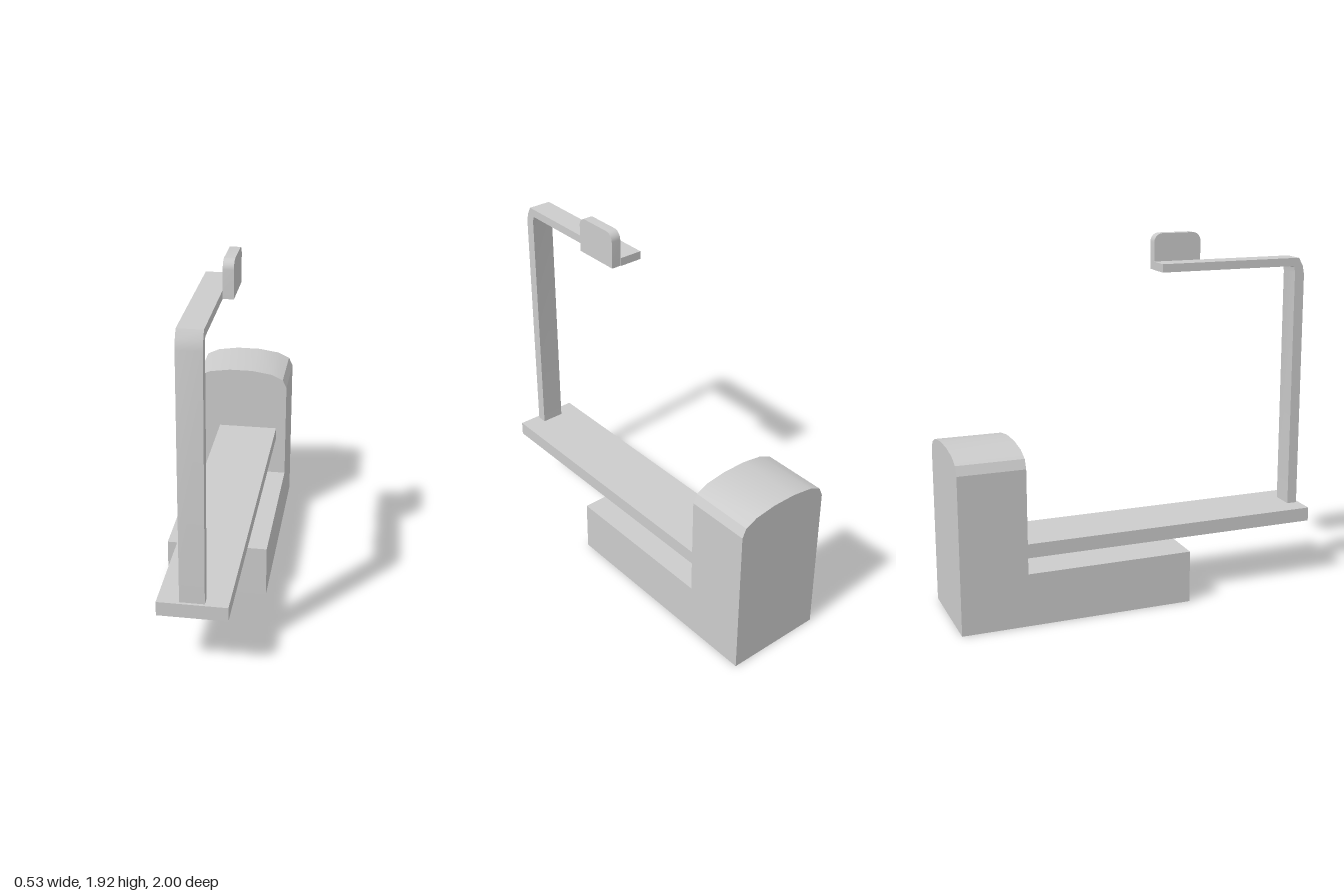
import * as THREE from 'three';
import { toCreasedNormals } from 'three/addons/utils/BufferGeometryUtils.js';

const solid = new THREE.MeshStandardMaterial({ color: 0xcccccc });
const sheet = new THREE.MeshStandardMaterial({ color: 0xcccccc, side: THREE.DoubleSide });

function add(parent, name, geometry, material = solid) {
  const mesh = new THREE.Mesh(geometry, material);
  mesh.name = name;
  parent.add(mesh);
  return mesh;
}

const shapeOf = (points) => new THREE.Shape(points.map(([a, b]) => new THREE.Vector2(a, b)));

// Extrudes a (z, y) outline across x from x0 to x1
function extrudeAcross(shape, x0, x1) {
  const g = new THREE.ExtrudeGeometry(shape, { depth: x1 - x0, bevelEnabled: false, curveSegments: 4 });
  g.rotateY(-Math.PI / 2); // outline x -> z, depth -> -x
  g.translate(x1, 0, 0);
  return toCreasedNormals(g, 0.6);
}

// Thin-walled housing: low base in front, tall arched hood open towards the front
function createHousing() {
  const group = new THREE.Group();
  group.name = 'housing';
  const w = 0.267, back = -1, mid = -0.65, front = 0.24, step = 0.28;

  const half = [[w, 0.83], [0.245, 0.878], [0.18, 0.908], [0.065, 0.925]];
  const arch = [...half, ...half.map(([x, y]) => [-x, y]).reverse()];

  // Back panel
  const backPanel = new THREE.ShapeGeometry(shapeOf([[w, 0], ...arch, [-w, 0]]));
  backPanel.rotateY(Math.PI);
  backPanel.translate(0, 0, back);
  add(group, 'backPanel', backPanel, sheet);

  // L-shaped side panels
  const side = shapeOf([[back, 0], [front, 0], [front, step], [mid, step], [mid, 0.83], [back, 0.83]]);
  for (const s of [-1, 1]) {
    const g = new THREE.ShapeGeometry(side);
    g.rotateY(-Math.PI / 2);
    g.translate(s * w, 0, 0);
    add(group, s > 0 ? 'leftPanel' : 'rightPanel', g, sheet);
  }

  // Arched roof strip
  const pos = [];
  for (let i = 0; i < arch.length - 1; i++) {
    const [ax, ay] = arch[i], [bx, by] = arch[i + 1];
    pos.push(ax, ay, mid, ax, ay, back, bx, by, back);
    pos.push(ax, ay, mid, bx, by, back, bx, by, mid);
  }
  const roof = new THREE.BufferGeometry();
  roof.setAttribute('position', new THREE.Float32BufferAttribute(pos, 3));
  add(group, 'roof', toCreasedNormals(roof, 0.6), sheet);

  // Flat panels of the base
  const floor = add(group, 'baseBottom', new THREE.PlaneGeometry(2 * w, front - back), sheet);
  floor.rotation.x = Math.PI / 2;
  floor.position.set(0, 0, (front + back) / 2);
  const top = add(group, 'baseTop', new THREE.PlaneGeometry(2 * w, front - mid), sheet);
  top.rotation.x = -Math.PI / 2;
  top.position.set(0, step, (front + mid) / 2);
  const face = add(group, 'baseFront', new THREE.PlaneGeometry(2 * w, step), sheet);
  face.position.set(0, step / 2, front);
  return group;
}

export function createModel() {
  const model = new THREE.Group();
  model.name = 'model';
  model.add(createHousing());

  // Long plank running out of the hood
  const plank = add(model, 'plank', new THREE.BoxGeometry(0.35, 0.075, 1.995));
  plank.position.set(0, 0.367, 0.0025);

  // Post bending into the overhead arm
  const bend = shapeOf([
    [0.93, 0.4], [0.985, 0.4], [0.985, 1.69], [0.976, 1.735], [0.952, 1.779],
    [0.16, 1.779], [0.16, 1.736], [0.912, 1.736], [0.925, 1.73], [0.93, 1.7],
  ]);
  add(model, 'postAndArm', extrudeAcross(bend, -0.064, 0.06));

  // Upright tab with rounded top corners on the side of the arm
  const z0 = 0.164, z1 = 0.427, y0 = 1.736, y1 = 1.924, r = 0.045;
  const tab = new THREE.Shape();
  tab.moveTo(z0, y0);
  tab.lineTo(z1, y0);
  tab.lineTo(z1, y1 - r);
  tab.absarc(z1 - r, y1 - r, r, 0, Math.PI / 2);
  tab.lineTo(z0 + r, y1);
  tab.absarc(z0 + r, y1 - r, r, Math.PI / 2, Math.PI);
  tab.closePath();
  add(model, 'tab', extrudeAcross(tab, 0.06, 0.113));

  return model;
}
